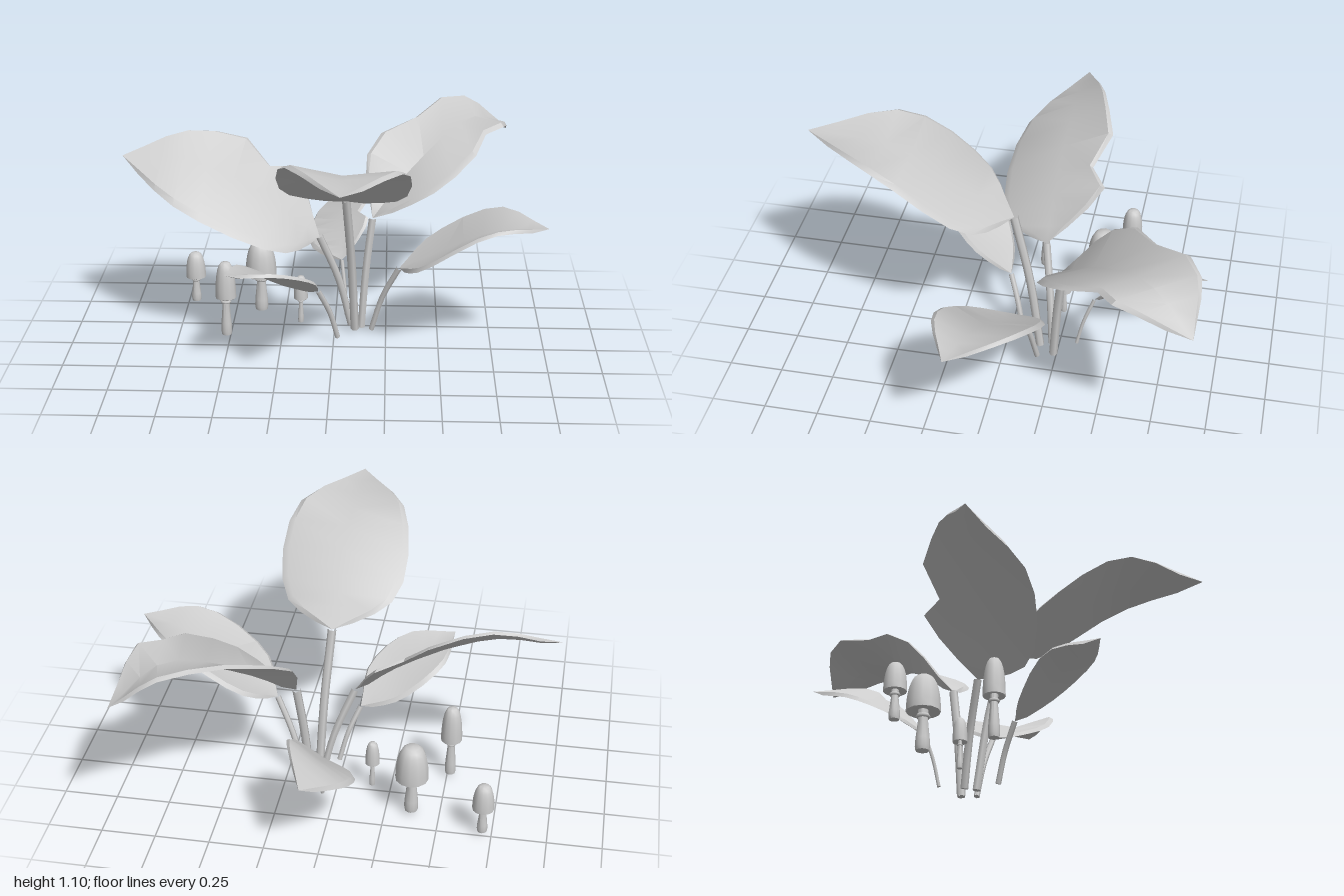
import * as THREE from 'three';
import { toCreasedNormals } from 'three/addons/utils/BufferGeometryUtils.js';

const material = new THREE.MeshStandardMaterial({ color: 0xcccccc, roughness: 0.8 });
const V = (x, y, z) => new THREE.Vector3(x, y, z);
const STEPS = 10;

function addMesh(parent, geometry, name) {
  const mesh = new THREE.Mesh(geometry, material);
  mesh.name = name;
  parent.add(mesh);
  return mesh;
}

// Thin closed blade lofted between left edge, midrib and right edge curves,
// six points per cross-section: bevelled rims, folded midrib, underside.
function bladeGeometry({ base, tip, left, mid, right, leftNotch, rightNotch }) {
  const sample = (inner) => new THREE.CatmullRomCurve3([base, ...inner, tip]).getPoints(STEPS);
  const [l, m, r] = [left, mid, right].map(sample);
  // A notch pulls one edge point towards the midrib
  if (leftNotch) l[leftNotch.step].lerp(m[leftNotch.step], leftNotch.depth);
  if (rightNotch) r[rightNotch.step].lerp(m[rightNotch.step], rightNotch.depth);

  const lower = (p) => p.clone().setY(p.y - 0.018);
  const points = [], index = [];
  for (let i = 0; i <= STEPS; i++) {
    const inner = (edge) => edge.clone().lerp(m[i], 0.1);
    const pointed = i === 0 || i === STEPS;
    points.push(...(pointed ? Array(6).fill(m[i])
      : [lower(l[i]), inner(l[i]), m[i], inner(r[i]), lower(r[i]), lower(m[i])]));
    if (i === STEPS) break;
    for (let j = 0; j < 6; j++) {
      const a = i * 6 + j, b = i * 6 + (j + 1) % 6;
      if (i > 0) index.push(a, b, a + 6);
      if (i < STEPS - 1) index.push(b, b + 6, a + 6);
    }
  }
  const geometry = new THREE.BufferGeometry().setFromPoints(points);
  geometry.setIndex(index);
  return toCreasedNormals(geometry, 0.6);
}

function makeLeaf(name, leaf) {
  const { foot, base, radius } = leaf;
  const group = new THREE.Group();
  group.name = name;
  // Stem rises steeply, then leans out to the blade
  const bend = foot.clone().lerp(base, 0.4);
  bend.y = THREE.MathUtils.lerp(foot.y, base.y, 0.52);
  const curve = new THREE.CatmullRomCurve3([foot, bend, base]);
  addMesh(group, new THREE.TubeGeometry(curve, 8, radius, 6), 'stem');
  const cap = addMesh(group, new THREE.CircleGeometry(radius, 6), 'stemFoot');
  cap.position.copy(foot);
  cap.lookAt(foot.clone().sub(curve.getTangent(0)));
  addMesh(group, bladeGeometry(leaf), 'blade');
  return group;
}

const lathe = (points) => toCreasedNormals(new THREE.LatheGeometry(points, 12), 0.9);
const P = (x, y) => new THREE.Vector2(x, y);

// Mushroom: flared stalk, collar ring and tall domed cap
function makeMushroom(x, z, bottom, top, capR, stalkR) {
  const group = new THREE.Group();
  group.name = 'mushroom';
  group.position.set(x, 0.022, z);
  const h = bottom - 0.022, c = top - bottom;
  addMesh(group, lathe([P(0, 0), P(stalkR * 0.9, 0), P(stalkR, h * 0.1),
    P(stalkR * 0.95, h * 0.3), P(stalkR * 0.68, h * 0.75), P(stalkR * 0.68, h * 1.1)]), 'stalk');
  const collar = addMesh(group, new THREE.TorusGeometry(stalkR * 0.72, stalkR * 0.28, 6, 12), 'collar');
  collar.rotation.x = Math.PI / 2;
  collar.position.y = h * 0.88;
  const dome = Array.from({ length: 8 }, (_, i) => {
    const a = (i / 7) * Math.PI / 2;
    return P(capR * Math.max(0, Math.cos(a)) ** 0.6, h + c * Math.sin(a));
  });
  dome[7].x = 0;
  addMesh(group, lathe([P(0, h + c * 0.08), P(capR * 0.9, h - c * 0.02), ...dome]), 'cap');
  return group;
}

export function createModel() {
  const model = new THREE.Group();
  model.name = 'leafyPlantWithMushrooms';
  model.add(
    makeLeaf('frontLeaf', {
      radius: 0.02, foot: V(0.1, 0.02, -0.165), base: V(0.06, 0.73, -0.03), tip: V(0.06, 1.08, 0.92),
      left: [V(0.31, 0.81, 0.14), V(0.33, 1.07, 0.53)],
      mid: [V(0.06, 0.84, 0.16), V(0.06, 1.04, 0.52)],
      right: [V(-0.21, 0.84, 0.15), V(-0.2, 1.09, 0.52)],
    }),
    makeLeaf('leftSideLeaf', {
      radius: 0.018, foot: V(0.08, 0.02, -0.22), base: V(-0.07, 0.5, -0.16), tip: V(-1, 0.88, -0.2),
      left: [V(-0.24, 0.52, 0.07), V(-0.7, 0.72, 0.07)],
      mid: [V(-0.28, 0.67, -0.16), V(-0.68, 0.865, -0.175)],
      right: [V(-0.22, 0.81, -0.42), V(-0.66, 0.985, -0.335)],
      rightNotch: { step: 4, depth: 0.36 },
    }),
    makeLeaf('backRightLeaf', {
      radius: 0.02, foot: V(0.13, 0, -0.235), base: V(0.18, 0.55, -0.28), tip: V(0.85, 0.82, -0.93),
      left: [V(0.16, 0.84, -0.53), V(0.6, 1, -0.92)],
      mid: [V(0.37, 0.75, -0.46), V(0.66, 0.93, -0.72)],
      right: [V(0.5, 0.74, -0.22), V(0.8, 0.94, -0.55)],
      leftNotch: { step: 5, depth: 0.2 }, rightNotch: { step: 6, depth: 0.22 },
    }),
    makeLeaf('rightSideLeaf', {
      radius: 0.014, foot: V(0.18, 0.02, -0.165), base: V(0.31, 0.37, -0.09), tip: V(0.99, 0.645, 0.09),
      left: [V(0.46, 0.49, -0.25), V(0.77, 0.66, -0.2)],
      mid: [V(0.47, 0.46, -0.05), V(0.75, 0.61, 0.03)],
      right: [V(0.41, 0.47, 0.15), V(0.72, 0.66, 0.2)],
    }),
    makeLeaf('frontLeftLeaf', {
      radius: 0.013, foot: V(0.02, 0.02, -0.065), base: V(-0.07, 0.29, 0.01), tip: V(-0.47, 0.515, 0.385),
      left: [V(-0.08, 0.42, 0.2), V(-0.24, 0.515, 0.36)],
      mid: [V(-0.17, 0.37, 0.11), V(-0.3, 0.46, 0.23)],
      right: [V(-0.25, 0.345, 0.03), V(-0.44, 0.48, 0.15)],
    }),
    makeLeaf('backLeaf', {
      radius: 0.009, foot: V(0.055, 0.02, -0.335), base: V(0.03, 0.28, -0.41), tip: V(0.045, 0.49, -0.93),
      left: [V(-0.13, 0.315, -0.55), V(-0.12, 0.4, -0.74)],
      mid: [V(0.02, 0.36, -0.53), V(0.02, 0.47, -0.7)],
      right: [V(0.15, 0.45, -0.51), V(0.15, 0.55, -0.66)],
      rightNotch: { step: 5, depth: 0.35 },
    }),
    makeMushroom(-0.707, -0.49, 0.15, 0.28, 0.05, 0.024),
    makeMushroom(-0.515, -0.08, 0.215, 0.395, 0.05, 0.026),
    makeMushroom(-0.37, -0.39, 0.205, 0.38, 0.077, 0.033),
    makeMushroom(-0.165, -0.235, 0.148, 0.265, 0.034, 0.014),
  );
  return model;
}
